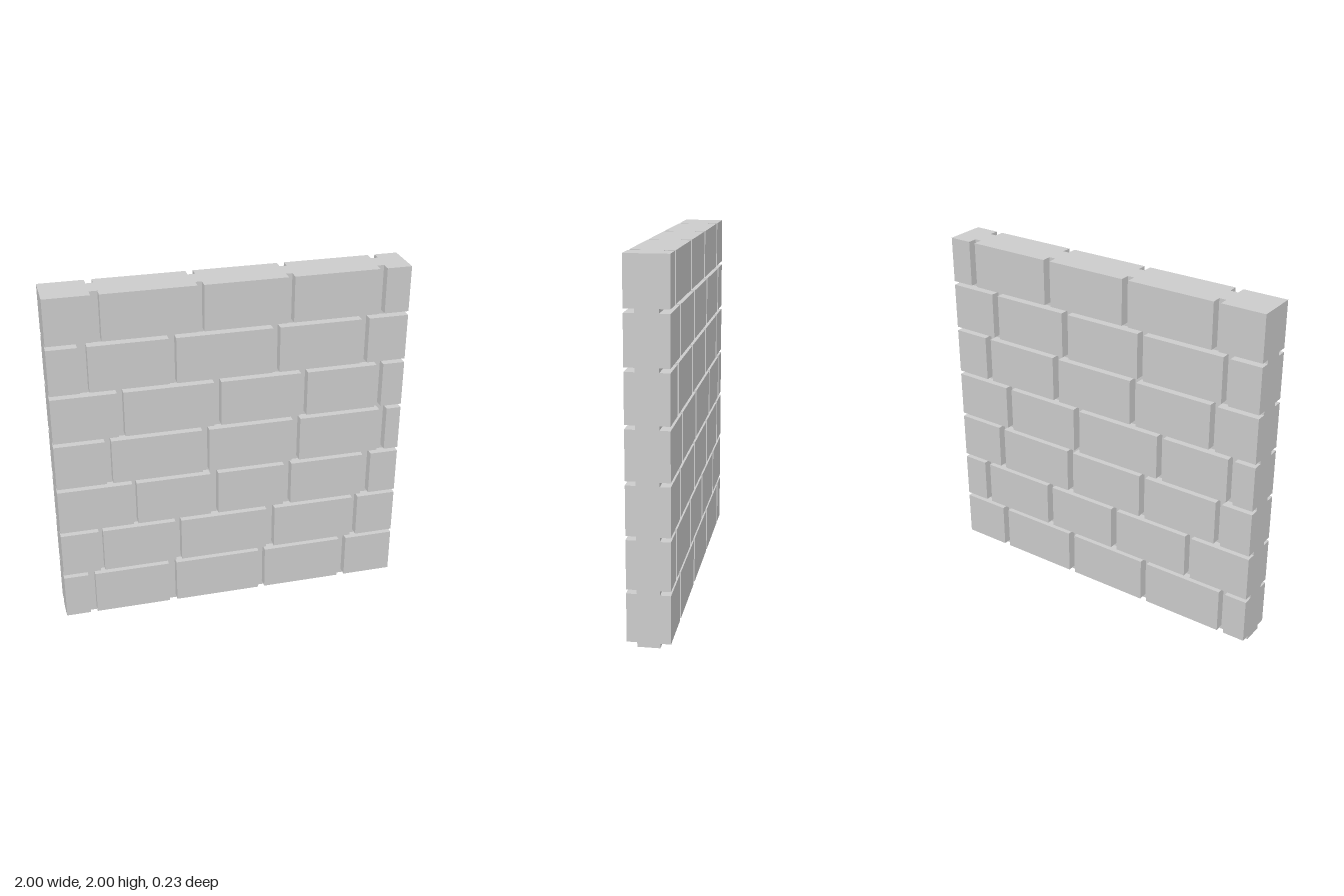
import * as THREE from 'three';

const CORE = 0.06;     // half thickness of the mortar core
const FACE = 0.115;    // half thickness across the brick faces
const PITCH = 0.2857;  // height of one course
const JOINT = 0.025;   // height of a bed joint

// Vertical joints per course, bottom to top, as [start, end] along x
const frontJoints = [
  [[-0.86, -0.82], [-0.385, -0.34], [0.16, 0.20], [0.665, 0.71]],
  [[-0.785, -0.76], [-0.34, -0.305], [0.205, 0.255], [0.735, 0.77]],
  [[-0.58, -0.555], [-0.13, -0.085], [0.305, 0.35], [0.785, 0.835]],
  [[-0.72, -0.685], [-0.175, -0.135], [0.35, 0.395], [0.87, 0.915]],
  [[-0.64, -0.605], [-0.105, -0.065], [0.39, 0.43], [0.835, 0.875]],
  [[-0.835, -0.785], [-0.35, -0.31], [0.225, 0.265], [0.73, 0.775]],
  [[-0.75, -0.705], [-0.19, -0.155], [0.305, 0.34], [0.82, 0.86]],
];
// Rear joints, given by their centres
const backJoints = [
  [-0.85, -0.33, 0.19, 0.70],
  [-0.62, -0.12, 0.345, 0.83],
  [-0.80, -0.31, 0.19, 0.70],
  [-0.86, -0.42, 0.14, 0.63],
  [-0.74, -0.24, 0.28, 0.77],
  [-0.80, -0.285, 0.21, 0.70],
  [-0.73, -0.185, 0.325, 0.85],
].map((row) => row.map((x) => [x - 0.02, x + 0.02]));

export function createModel() {
  const wall = new THREE.Group();
  wall.name = 'brickWall';
  const material = new THREE.MeshStandardMaterial({ color: 0xcccccc, flatShading: true });

  const addBox = (parent, name, x0, x1, y0, y1, z0, z1) => {
    const mesh = new THREE.Mesh(new THREE.BoxGeometry(x1 - x0, y1 - y0, z1 - z0), material);
    mesh.position.set((x0 + x1) / 2, (y0 + y1) / 2, (z0 + z1) / 2);
    mesh.name = name;
    parent.add(mesh);
  };

  // Mortar core, visible at the bottom of every joint
  addBox(wall, 'mortarCore', -1, 1, 0, 2, -CORE, CORE);

  // Courses of bricks on one face of the wall
  const addFace = (name, joints, z0, z1) => {
    const face = new THREE.Group();
    face.name = name;
    joints.forEach((row, i) => {
      const y0 = i * PITCH + JOINT;
      const y1 = i === joints.length - 1 ? 2 : (i + 1) * PITCH + 0.003;
      let start = -1;
      for (const [end, next] of [...row, [1, 1]]) {
        addBox(face, 'brick', start, end, y0, y1, z0, z1);
        start = next;
      }
    });
    wall.add(face);
  };
  addFace('frontBricks', frontJoints, CORE, FACE);
  addFace('backBricks', backJoints, -FACE, -CORE);

  return wall;
}
